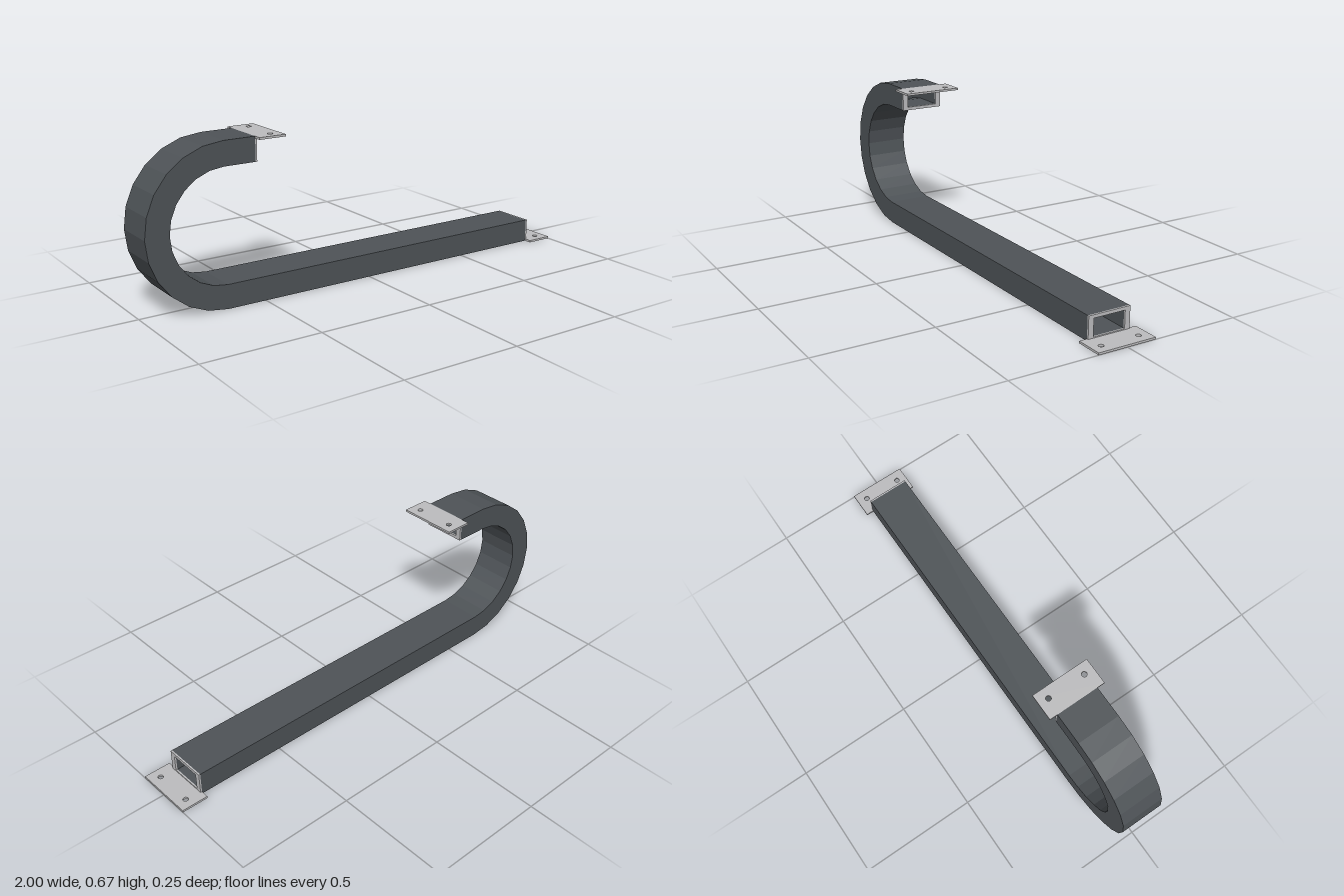
import * as THREE from 'three';

const TOP = 0.667, R_OUT = TOP / 2, HEIGHT = 0.1, HALF_Z = 0.0935;
const BEND_X = -1 + R_OUT, WALL_Y = 0.0135, WALL_Z = 0.023;
const CAP = 0.007, TAB_LEN = 0.115, TAB_HALF_Z = 0.1275, TAB_THICK = 0.009;
const UPPER_END = -0.532, LOWER_END = 0.885;

// Sweep a rectangular section along the hooked path; each quad keeps its own flat normal.
function hookedWall(rIn, rOut, halfZ, inward) {
  const stations = [[UPPER_END, 90]];
  for (let a = 90; a <= 270; a += 15) stations.push([BEND_X, a]);
  stations.push([LOWER_END, 270]);
  const rings = stations.map(([x, deg]) => {
    const a = THREE.MathUtils.degToRad(deg);
    const corner = (r, z) => [x + r * Math.cos(a), R_OUT + r * Math.sin(a), z];
    return [corner(rOut, halfZ), corner(rOut, -halfZ), corner(rIn, -halfZ), corner(rIn, halfZ)];
  });
  const pos = [];
  for (let i = 0; i < rings.length - 1; i++) {
    for (let k = 0; k < 4; k++) {
      const n = (k + 1) % 4;
      const quad = [rings[i][k], rings[i][n], rings[i + 1][n], rings[i + 1][k]];
      if (inward) quad.reverse();
      const [a, b, c, d] = quad;
      pos.push(...a, ...b, ...c, ...a, ...c, ...d);
    }
  }
  const g = new THREE.BufferGeometry();
  g.setAttribute('position', new THREE.Float32BufferAttribute(pos, 3));
  g.computeVertexNormals();
  return g;
}

function rectangle(target, x0, x1, y0, y1) {
  return target.moveTo(x0, y0).lineTo(x1, y0).lineTo(x1, y1).lineTo(x0, y1).closePath();
}

export function createModel() {
  const model = new THREE.Group();
  const darkPaint = new THREE.MeshStandardMaterial({ color: 0x4e5357 });
  darkPaint.name = 'dark grey paint';
  const bareSteel = new THREE.MeshStandardMaterial({ color: 0xbcbcbe });
  bareSteel.name = 'light grey steel';

  const add = (parent, name, geometry, material) => {
    const mesh = new THREE.Mesh(geometry, material);
    mesh.name = name;
    parent.add(mesh);
    return mesh;
  };

  // Hollow rectangular tube
  const tube = new THREE.Group();
  tube.name = 'hookedTube';
  model.add(tube);
  add(tube, 'tubeOutside', hookedWall(R_OUT - HEIGHT, R_OUT, HALF_Z, false), darkPaint);
  add(tube, 'tubeInside',
    hookedWall(R_OUT - HEIGHT + WALL_Y, R_OUT - WALL_Y, HALF_Z - WALL_Z, true), darkPaint);

  // End frame around the tube mouth
  const frameShape = rectangle(new THREE.Shape(), -HALF_Z, HALF_Z, 0, HEIGHT);
  frameShape.holes.push(rectangle(new THREE.Path(),
    -HALF_Z + WALL_Z, HALF_Z - WALL_Z, WALL_Y, HEIGHT - WALL_Y));
  const frameGeo = new THREE.ExtrudeGeometry(frameShape, { depth: CAP, bevelEnabled: false });
  frameGeo.rotateY(Math.PI / 2);

  // Mounting tab with two screw holes
  const tabShape = rectangle(new THREE.Shape(), 0, TAB_LEN, -TAB_HALF_Z, TAB_HALF_Z);
  for (const side of [-1, 1]) {
    tabShape.holes.push(new THREE.Path().absarc(TAB_LEN - 0.044, side * 0.084, 0.011, 0, Math.PI * 2, true));
  }
  const tabGeo = new THREE.ExtrudeGeometry(tabShape,
    { depth: TAB_THICK, bevelEnabled: false, curveSegments: 12 });
  tabGeo.rotateX(-Math.PI / 2);

  const ends = [
    ['lower', LOWER_END, 0, 0],
    ['upper', UPPER_END, TOP - HEIGHT, TOP - TAB_THICK],
  ];
  for (const [name, x, frameY, tabY] of ends) {
    const bracket = new THREE.Group();
    bracket.name = name + 'Bracket';
    bracket.position.x = x;
    model.add(bracket);
    add(bracket, name + 'EndFrame', frameGeo, bareSteel).position.y = frameY;
    add(bracket, name + 'MountingTab', tabGeo, bareSteel).position.y = tabY;
  }
  return model;
}
